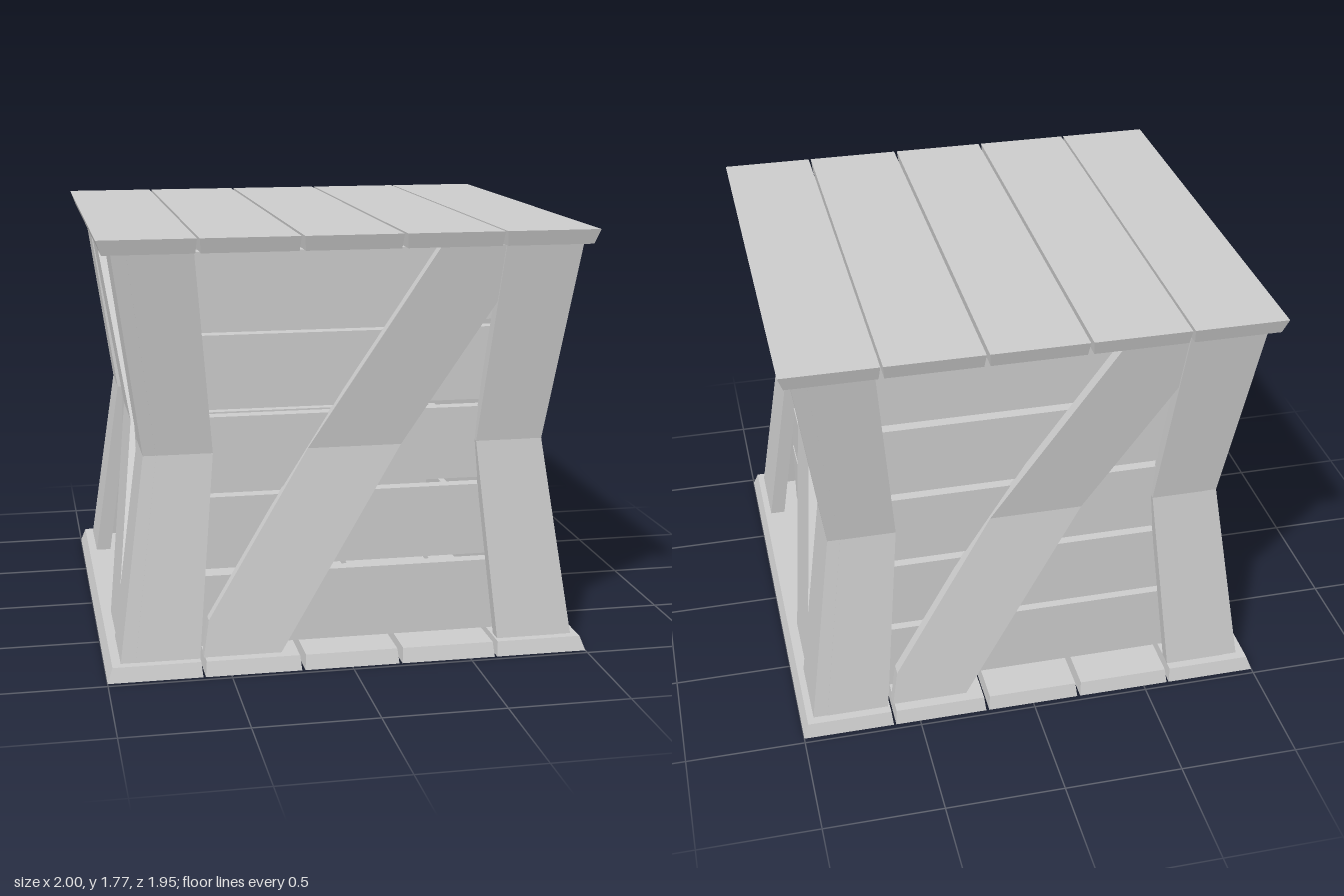
import * as THREE from 'three';

const MID = 0.8875, BOT = 0.06, TOP = 1.715, HEIGHT = 1.775;
const material = new THREE.MeshStandardMaterial({ color: 0xcccccc, flatShading: true });

// Pinch of the crate: 1 at the ends, 0.877 at mid height
const pinch = (y) => 0.877 + 0.123 * Math.abs(y - MID) / (MID - BOT);

// Solid board from a stack of rectangles, rows = [y, x0, x1, z0, z1]
function board(name, rows) {
  const pos = [];
  const rings = rows.map(([y, xa, xb, za, zb]) => {
    const x0 = Math.min(xa, xb), x1 = Math.max(xa, xb);
    const z0 = Math.min(za, zb), z1 = Math.max(za, zb);
    return [[x0, y, z1], [x1, y, z1], [x1, y, z0], [x0, y, z0]];
  });
  const quad = (a, b, c, d) => pos.push(...a, ...b, ...c, ...a, ...c, ...d);
  for (let r = 0; r + 1 < rings.length; r++) {
    for (let i = 0; i < 4; i++) {
      const j = (i + 1) % 4;
      quad(rings[r][i], rings[r][j], rings[r + 1][j], rings[r + 1][i]);
    }
  }
  const first = rings[0], last = rings[rings.length - 1];
  quad(...last);
  quad(first[3], first[2], first[1], first[0]);
  const geometry = new THREE.BufferGeometry();
  geometry.setAttribute('position', new THREE.Float32BufferAttribute(pos, 3));
  geometry.computeVertexNormals();
  const mesh = new THREE.Mesh(geometry, material);
  mesh.name = name;
  return mesh;
}

// Five planks with bevelled edges; wide face on the outside
function planks(name, yOuter, yInner) {
  const group = new THREE.Group();
  group.name = name;
  const spans = [[-1, -0.615], [-0.605, -0.21], [-0.197, 0.197], [0.21, 0.605], [0.615, 1]];
  for (const [a, b] of spans) {
    const ia = a + (a === -1 ? 0.022 : 0.006), ib = b - (b === 1 ? 0.022 : 0.006);
    const rows = [[yOuter, a, b, -0.975, 0.975], [yInner, ia, ib, -0.958, 0.958]];
    group.add(board(name + 'Plank', rows.sort((p, q) => p[0] - q[0])));
  }
  return group;
}

// Diagonal brace rows [y, u0, u1]: parallel edges, ends trimmed along the legs
function braceRows({ topLeft, bottomRight, slope, yLow, yHigh, endLow, endHigh }) {
  const left = (y) => (y < yLow ? endLow : topLeft - (TOP - y) * slope);
  const right = (y) => (y > yHigh ? endHigh : bottomRight + (y - BOT) * slope);
  return [BOT, yLow, MID, yHigh, TOP].map((y) => [y, left(y), right(y)]);
}

export function createModel() {
  const crate = new THREE.Group();
  crate.name = 'crate';
  crate.add(planks('lid', HEIGHT, TOP), planks('base', 0, BOT));

  // Corner legs: a front board and a side board, both bent at mid height
  for (const sx of [-1, 1]) for (const sz of [-1, 1]) {
    const leg = new THREE.Group();
    leg.name = 'cornerLeg';
    leg.position.x = 0.004;
    const bent = (name, x0, x1, z0, z1) => leg.add(board(name, [BOT, MID, TOP].map((y) => {
      const s = pinch(y);
      return [y, sx * x0 * s, sx * x1 * s, sz * z0 * s, sz * z1 * s];
    })));
    bent('legFaceBoard', 0.625, 0.886, 0.86, 0.921);
    bent('legSideBoard', 0.88, 0.946, 0.6, 0.919);
    crate.add(leg);
  }

  // Two opposite half turns give all four walls
  for (const turn of [0, Math.PI]) {
    const walls = new THREE.Group();
    walls.name = turn ? 'backAndLeftWalls' : 'frontAndRightWalls';
    walls.rotation.y = turn;

    // Upright horizontal slats
    for (let i = 0; i < 5; i++) {
      const y0 = BOT + i * 0.3335, y1 = y0 + 0.303;
      walls.add(board('faceSlat', [y0, y1].map((y) => [y, -0.745, 0.745, 0.725, 0.785])));
      walls.add(board('sideSlat', [y0, y1].map((y) => [y, 0.747, 0.807, -0.725, 0.725])));
    }

    // Bent diagonal braces
    const faceBrace = braceRows({ topLeft: 0.365, bottomRight: -0.285, slope: 0.628,
      yLow: 0.21, yHigh: 1.48, endLow: -0.605, endHigh: 0.635 });
    const sideBrace = braceRows({ topLeft: 0.305, bottomRight: -0.29, slope: 0.577,
      yLow: 0.21, yHigh: 1.555, endLow: -0.59, endHigh: 0.6 });
    walls.add(board('faceBrace', faceBrace
      .map(([y, a, b]) => [y, a, b, 0.86 * pinch(y), 0.912 * pinch(y)])));
    walls.add(board('sideBrace', sideBrace
      .map(([y, a, b]) => [y, 0.885 * pinch(y), 0.937 * pinch(y), a, b])));
    crate.add(walls);
  }
  return crate;
}
